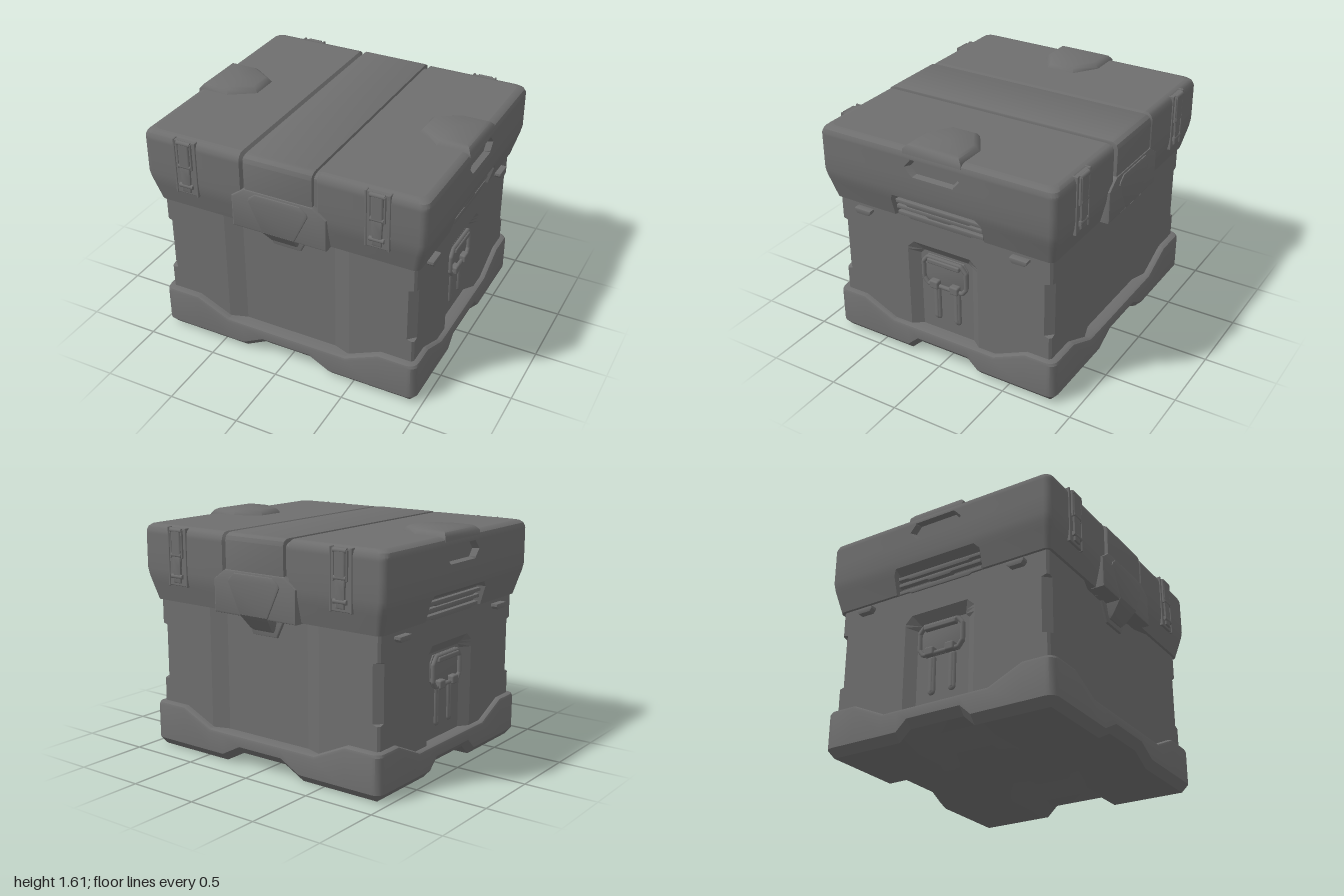
import * as THREE from 'three';
import { toCreasedNormals } from 'three/addons/utils/BufferGeometryUtils.js';
import { RoundedBoxGeometry } from 'three/addons/geometries/RoundedBoxGeometry.js';

const darkGrey = new THREE.MeshStandardMaterial({ color: 0x6e6e6e });

function add(parent, name, geo, x = 0, y = 0, z = 0) {
  const mesh = new THREE.Mesh(geo, darkGrey);
  mesh.name = name;
  mesh.position.set(x, y, z);
  parent.add(mesh);
  return mesh;
}

// Skin a stack of point rows; closed rows run counter-clockwise seen from above.
function loft(rows, { closed = true, top = false, bottom = false, crease = 0.5 } = {}) {
  const n = rows[0].length, pos = rows.flat(2), idx = [];
  for (let r = 0; r < rows.length - 1; r++)
    for (let i = 0; i < (closed ? n : n - 1); i++) {
      const a = r * n + i, b = r * n + (i + 1) % n;
      idx.push(a, b, a + n, b, b + n, a + n);
    }
  const cap = (r, flip) => {
    const c = pos.length / 3, row = rows[r];
    pos.push(...[0, 1, 2].map(k => row.reduce((s, p) => s + p[k], 0) / n));
    for (let i = 0; i < n; i++) {
      const a = r * n + i, b = r * n + (i + 1) % n;
      idx.push(...(flip ? [b, a, c] : [a, b, c]));
    }
  };
  if (top) cap(rows.length - 1, false);
  if (bottom) cap(0, true);
  const g = new THREE.BufferGeometry();
  g.setAttribute('position', new THREE.Float32BufferAttribute(pos, 3));
  g.setIndex(idx);
  return toCreasedNormals(g, crease);
}

// Rounded rectangle loop; front and side nodes are [distance from centre, inset].
function ring(hx, hz, c, front, side, y, arc = 4) {
  const q = front.map(([x, d]) => [x, hz - d]);
  for (let i = 0; i <= arc; i++) {
    const a = i / arc * Math.PI / 2;
    q.push([hx - c + c * Math.sin(a), hz - c + c * Math.cos(a)]);
  }
  side.forEach(([z, d]) => q.push([hx - d, z]));
  const m = (sx, sz) => q.map(([x, z]) => [x * sx, z * sz]);
  const all = [...m(1, 1), ...m(1, -1).reverse(), ...m(-1, -1), ...m(-1, 1).reverse()];
  return all.map(([x, z]) => [x, typeof y === 'function' ? y(x, z) : y, z]);
}

// Flat polygon pushed from z0 to z1 with a small bevel inside its outline.
function prism(points, z0, z1, bevel) {
  const g = new THREE.ExtrudeGeometry(new THREE.Shape(points.map(p => new THREE.Vector2(...p))), {
    depth: z1 - z0 - bevel, bevelThickness: bevel, bevelSize: bevel, bevelOffset: -bevel, bevelSegments: 2 });
  return toCreasedNormals(g.translate(0, 0, z0), 0.5);
}

const mirrored = pts => [...pts, ...pts.map(([x, y]) => [-x, y]).reverse()];
const ramp = (v, a, b, lo, hi) => lo + (hi - lo) * THREE.MathUtils.clamp((Math.abs(v) - a) / (b - a), 0, 1);

// Bumper base with raised corners and arched channels below
function addBase(root) {
  const top = (x, z) => Math.min(ramp(x, 0.45, 0.69, 0.21, 0.32), ramp(z, 0.4, 0.64, 0.21, 0.32));
  const low = (x, z) => Math.max(ramp(x, 0.18, 0.33, 0.08, 0), ramp(z, 0.2, 0.28, 0.075, 0));
  const xs = [0.18, 0.33, 0.45, 0.69], zs = [0.2, 0.28, 0.4, 0.64];
  const fr = xs.map(x => [x, 0]), sd = zs.map(z => [z, 0]).reverse();
  add(root, 'baseBumper', loft([
    ring(0.91, 0.81, 0, fr, sd, low),
    ring(0.96, 0.86, 0.06, fr, sd, (x, z) => low(x, z) + 0.055),
    ring(0.96, 0.86, 0.06, fr, sd, (x, z) => top(x, z) - 0.025),
    ring(0.953, 0.853, 0.06, fr, sd, (x, z) => top(x, z) - 0.008),
    ring(0.935, 0.835, 0.06, fr, sd, top),
    ring(0.85, 0.75, 0.04, fr, sd, top)]));
  const both = (list, end) => [-end, ...list.map(v => -v).reverse(), ...list, end];
  add(root, 'baseUnderside', loft(both(zs, 0.81).map(z =>
    both(xs, 0.91).map(x => [x, low(x, z), z])), { closed: false, crease: 1 }));
}

// Main walls: shallow front and back recess, handle bays, chamfered corner notches
function addBody(root) {
  const rows = [ // y, corner, bay outer, bay inner, bay depth
    [0.15, 0.015, 0.27, 0.2, 0.05], [0.48, 0.015, 0.27, 0.2, 0.05],
    [0.49, 0.05, 0.27, 0.2, 0.05], [0.77, 0.05, 0.27, 0.2, 0.05],
    [0.8, 0.05, 0.27, 0.17, 0.05], [0.82, 0.05, 0.27, 0.184, 0.036],
    [0.87, 0.05, 0.22, 0.215, 0], [0.88, 0.015, 0.22, 0.215, 0], [1.05, 0.015, 0.22, 0.215, 0]];
  add(root, 'bodyWalls', loft(rows.map(([y, c, o, i, d]) =>
    ring(0.92, 0.81, c, [[0.34, 0.04], [0.46, 0]], [[o, 0], [i, d]], y, 1)), { bottom: true, crease: 0.15 }));
}

// Lid shell with side vents, hexagonal grip pockets and a sunken middle for the band
function addLid(root) {
  const rows = [ // y, half x, half z, corner, pocket outer, inner, depth
    [1.05, 0.94, 0.83, 0.04, 0.34, 0.32, 0.05], [1.18, 0.978, 0.862, 0.05, 0.34, 0.32, 0.055],
    [1.22, 0.99, 0.87, 0.05, 0.32, 0.3, 0], [1.27, 1, 0.875, 0.05, 0.32, 0.3, 0],
    [1.395, 1, 0.875, 0.05, 0.16, 0.145, 0], [1.405, 1, 0.875, 0.05, 0.16, 0.14, 0.04],
    [1.455, 1, 0.875, 0.05, 0.205, 0.18, 0.04], [1.505, 1, 0.875, 0.05, 0.16, 0.14, 0.04],
    [1.515, 1, 0.875, 0.05, 0.16, 0.145, 0], [1.53, 1, 0.873, 0.05, 0.16, 0.14, 0],
    [1.555, 0.99, 0.863, 0.05, 0.16, 0.14, 0], [1.57, 0.97, 0.845, 0.05, 0.16, 0.14, 0],
    [1.575, 0.945, 0.82, 0.05, 0.16, 0.14, 0]];
  const rings = rows.map(([y, hx, hz, c, o, i, d]) =>
    ring(hx, hz, c, [[0.262, 0.02], [0.278, 0]], [[o, 0], [i, d]],
      x => Math.abs(x) < 0.27 ? y - ramp(y, 1.53, 1.57, 0, 0.02) : y));
  add(root, 'lidShell', loft(rings, { bottom: true }));
  // Top skin spanning from the front rim to the back rim
  const rim = rings.at(-1), quarter = rim.length / 4;
  const front = [...rim.slice(3 * quarter), ...rim.slice(0, quarter)];
  add(root, 'lidTop', loft([front, front.map(([x, y, z]) => [x, y, -z])], { closed: false }));
  // Band wrapping over the lid from front to back
  const band = mirrored([[0.85, 1.046], [0.882, 1.22], [0.885, 1.53], [0.874, 1.558], [0.848, 1.574], [0.82, 1.577]]);
  add(root, 'lidBand', prism(band, -0.234, 0.242, 0.008).rotateY(Math.PI / 2));
}

// Lock and latches, on the front and repeated on the back
function buildFront() {
  const g = new THREE.Group();
  add(g, 'lockPanel', prism(mirrored([[0.34, 1.046], [0.34, 1.27], [0.245, 1.34]]), 0.8, 0.892, 0.012));
  add(g, 'lockBadge', prism(mirrored([[0.115, 1.055], [0.215, 1.265], [0.205, 1.29], [0.16, 1.325]]), 0.85, 0.9, 0.008));
  const slab = (w, y, z) => [[-w, y, z], [w, y, z], [w, y, 0.75], [-w, y, 0.75]];
  add(g, 'lockTongue', loft([slab(0.08, 0.945, 0.8), slab(0.09, 0.965, 0.825), slab(0.115, 1.06, 0.9)],
    { top: true, bottom: true }));
  add(g, 'lockFrame', prism(mirrored([[0.1, 0.91], [0.17, 1.05]]), 0.75, 0.79, 0.008));
  for (const s of [-1, 1]) {
    const latch = new THREE.Group();
    latch.name = 'latch';
    latch.position.x = s * 0.68;
    g.add(latch);
    add(latch, 'latchPlate', new RoundedBoxGeometry(0.15, 0.39, 0.07, 1, 0.006), 0, 1.37, 0.843);
    for (const r of [-1, 1]) {
      add(latch, 'latchRail', new RoundedBoxGeometry(0.014, 0.4, 0.075, 1, 0.004), r * 0.078, 1.37, 0.846);
      add(latch, 'latchArm', new RoundedBoxGeometry(0.012, 0.19, 0.04, 1, 0.004), r * 0.05, 1.46, 0.872);
    }
    add(latch, 'latchHook', new RoundedBoxGeometry(0.085, 0.18, 0.05, 2, 0.014), 0, 1.465, 0.872);
    add(latch, 'latchLever', prism(mirrored([[0.034, 1.195], [0.036, 1.3], [0.042, 1.385]]), 0.85, 0.893, 0.01));
    for (const [y, w] of [[1.385, 0.09], [1.55, 0.1], [1.24, 0.1]])
      add(latch, 'latchPin', new THREE.CylinderGeometry(0.016, 0.016, w, 12).rotateZ(Math.PI / 2), 0, y, 0.882);
  }
  return g;
}

// Handle, vent slats, pegs and top pad, on the left and repeated on the right
function buildSide() {
  const g = new THREE.Group();
  // Drop handle
  const pts = [[0.1, 0.57], [0.135, 0.57], [0.165, 0.61], [0.165, 0.73], [0.13, 0.775]];
  const path = new THREE.CurvePath();
  const loop = mirrored(pts).map(([z, y]) => new THREE.Vector3(0.895, y, z));
  loop.forEach((p, i) => path.add(new THREE.LineCurve3(p, loop[(i + 1) % loop.length])));
  add(g, 'handleRing', new THREE.TubeGeometry(path, 120, 0.015, 8, true));
  add(g, 'handleGrip', new RoundedBoxGeometry(0.04, 0.036, 0.25, 2, 0.01), 0.9, 0.755, 0);
  add(g, 'handlePlate', prism(mirrored([[0.13, 0.56], [0.17, 0.61], [0.17, 0.74], [0.14, 0.785]]), 0.86, 0.88, 0.006)
    .rotateY(Math.PI / 2));
  for (const s of [-1, 1]) {
    add(g, 'handleHinge', new RoundedBoxGeometry(0.05, 0.06, 0.068, 2, 0.012), 0.898, 0.582, s * 0.078);
    add(g, 'handleRib', new THREE.CapsuleGeometry(0.029, 0.22, 4, 10).scale(0.5, 1, 1), 0.873, 0.43, s * 0.078);
    add(g, 'handleRibCore', new THREE.CapsuleGeometry(0.015, 0.22, 4, 10), 0.875, 0.43, s * 0.078);
    // Pegs under the lid rim
    add(g, 'sidePeg', prism(mirrored([[0.045, 0.98], [0.063, 1], [0.063, 1.018]]), 0.9, 0.965, 0.005)
      .rotateY(Math.PI / 2), 0, 0, s * 0.595);
  }
  // Vent slats, each with a shallow trapezoid step in the middle
  for (const [y, x, w] of [[1.06, 0.925, 0.25], [1.11, 0.935, 0.1], [1.155, 0.945, 0.25]]) {
    const slat = mirrored([[w - 0.02, y - 0.018], [w, y - 0.008], [0.325, y - 0.008], [0.325, y + 0.016]]);
    add(g, 'ventSlat', prism(slat, x - 0.05, x + 0.005, 0.003).rotateY(Math.PI / 2));
  }
  // Raised six-sided pad on the lid top, with softened edges
  const pad = (x0, x1, x2, a, b, y) => [[x0, y, a], [x1, y, b], [x2, y, b], [x2, y, -b], [x1, y, -b], [x0, y, -a]];
  add(g, 'topPad', loft([pad(0.6, 0.77, 0.998, 0.1, 0.215, 1.545), pad(0.602, 0.771, 0.994, 0.1, 0.214, 1.575),
    pad(0.622, 0.78, 0.975, 0.09, 0.19, 1.6), pad(0.64, 0.79, 0.955, 0.08, 0.172, 1.61)], { top: true, crease: 0.85 }));
  return g;
}

export function createModel() {
  const root = new THREE.Group();
  root.name = 'storageCrate';
  addBase(root);
  addBody(root);
  addLid(root);
  for (const [build, names] of [[buildFront, ['frontHardware', 'backHardware']], [buildSide, ['leftHardware', 'rightHardware']]])
    names.forEach((name, i) => {
      const g = build();
      g.name = name;
      g.rotation.y = i * Math.PI;
      root.add(g);
    });
  return root;
}
